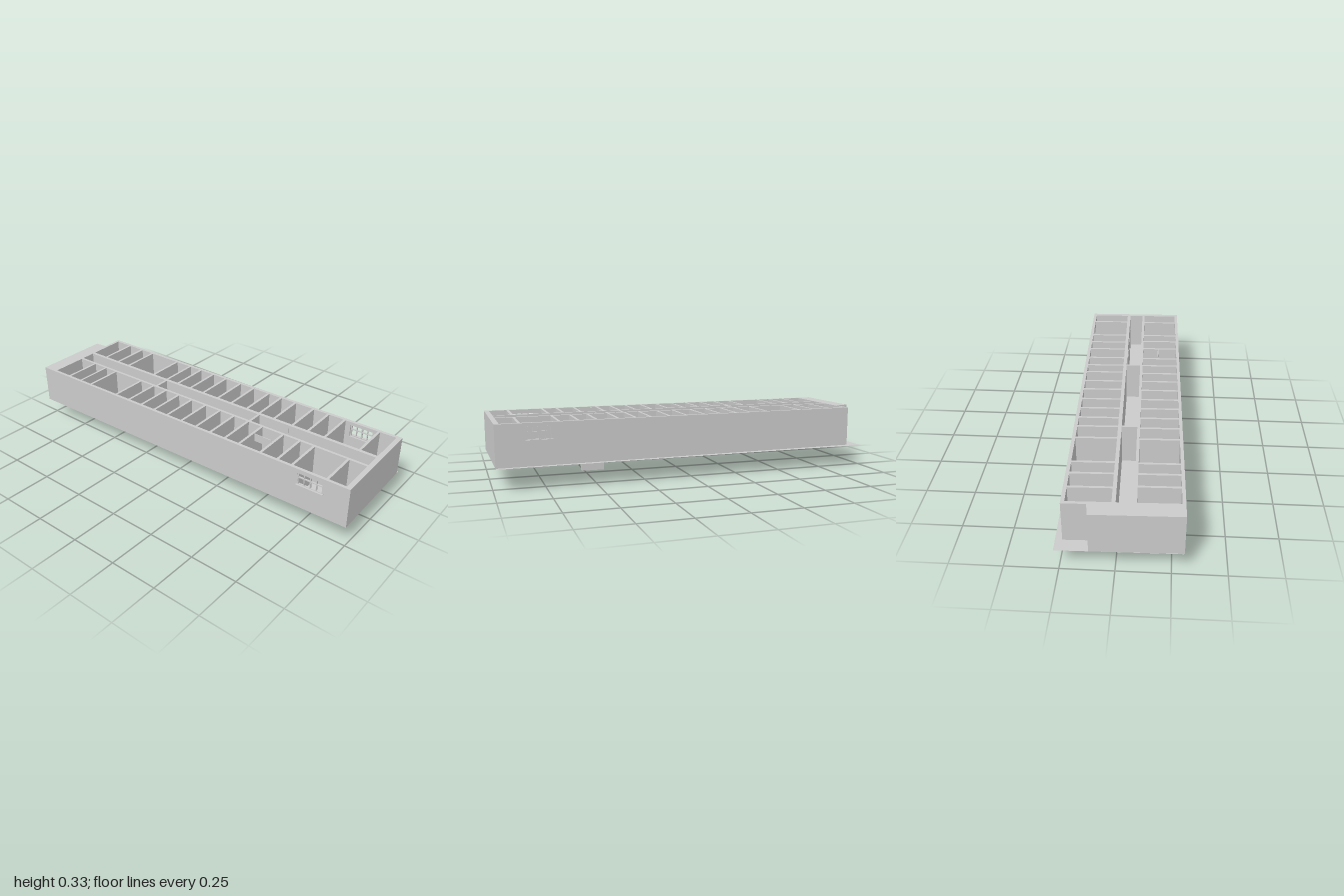
import * as THREE from 'three';

const FLOOR = 0.11, TOP = 0.32, TILT = 0.024;
const SILL = 0.236, HEAD = 0.302;
const mat = new THREE.MeshStandardMaterial({ color: 0xcccccc, flatShading: true, side: THREE.DoubleSide });

// Partition centre lines along the building, for each row of rooms
const BACK = [-0.81, -0.71, -0.625, -0.43, -0.33, -0.25, -0.16, -0.07, 0.03, 0.12, 0.22, 0.30, 0.39, 0.50, 0.59, 0.685, 0.875];
const FRONT = [-0.80, -0.71, -0.63, -0.435, -0.34, -0.25, -0.16, -0.07, 0.025, 0.12, 0.21, 0.30, 0.385, 0.51, 0.605, 0.685, 0.87];
const HALL = [-0.325, 0.305];
const WIN_BACK = [0.72, 0.845], WIN_FRONT = [0.725, 0.86];
const WINDOW_ROOM = 16;

// Rectangles between the partitions of one row
function row(dividers, v0, v1) {
  const t = 0.0065;
  const edges = [-0.91 - t, ...dividers, 0.967 + t];
  return edges.slice(1).map((e, i) => ({ u0: edges[i] + t, u1: e - t, v0, v1 }));
}

const corners = (r) => [[r.u0, r.v0], [r.u0, r.v1], [r.u1, r.v1], [r.u1, r.v0]];
const toPoints = (list) => list.map(([x, y]) => new THREE.Vector2(x, y));

function add(parent, name, geometry, x = 0, y = 0, z = 0) {
  const mesh = new THREE.Mesh(geometry, mat);
  mesh.name = name;
  mesh.position.set(x, y, z);
  parent.add(mesh);
  return mesh;
}

// One storey-plan layer; with windows, the outline runs in and around the window rooms
function wallLayer(y0, y1, withWindows) {
  const back = row(BACK, -0.243, -0.04);
  const front = row(FRONT, 0.07, 0.265);
  const hall = row(HALL, -0.022, 0.056);
  const vb = -0.2605, vf = 0.281;
  const outline = [[-0.995, -0.14], [-0.926, -0.147], [-0.926, vb]];
  if (withWindows) {
    const [r] = back.splice(WINDOW_ROOM, 1), [a, b] = WIN_BACK;
    outline.push([a, vb], [a, r.v0], [r.u0, r.v0], [r.u0, r.v1], [r.u1, r.v1], [r.u1, r.v0], [b, r.v0], [b, vb]);
  }
  outline.push([0.992, vb], [0.992, vf]);
  if (withWindows) {
    const [r] = front.splice(WINDOW_ROOM, 1), [a, b] = WIN_FRONT;
    outline.push([b, vf], [b, r.v1], [r.u1, r.v1], [r.u1, r.v0], [r.u0, r.v0], [r.u0, r.v1], [a, r.v1], [a, vf]);
  }
  outline.push([-0.995, vf]);
  const shape = new THREE.Shape(toPoints(outline));
  for (const r of [...back, ...front, ...hall]) shape.holes.push(new THREE.Path(toPoints(corners(r))));
  const geo = new THREE.ExtrudeGeometry(shape, { depth: y1 - y0, bevelEnabled: false });
  return geo.rotateX(Math.PI / 2).translate(0, y1, 0);
}

// Barred window with a frame and a projecting sill
function makeWindow(name, [u0, u1], v, out) {
  const g = new THREE.Group();
  g.name = name;
  const w = u1 - u0, h = HEAD - SILL, bar = 0.006;
  for (let i = 0; i <= 4; i++) {
    const thick = i % 2 ? 0.004 : bar;
    add(g, 'windowPost', new THREE.BoxGeometry(thick, h, 0.008), u0 + bar / 2 + (w - bar) * i / 4, SILL + h / 2, v);
  }
  for (const f of [0.04, 0.6, 0.96])
    add(g, 'windowRail', new THREE.BoxGeometry(w, 0.005, 0.008), (u0 + u1) / 2, SILL + h * f, v);
  add(g, 'windowSill', new THREE.BoxGeometry(w + 0.008, 0.003, 0.016), (u0 + u1) / 2, SILL + 0.001, v + out * 0.006);
  return g;
}

// Sunken stair: folded treads and risers between two side walls, open at the top
function makeStair() {
  const g = new THREE.Group();
  g.name = 'stair';
  const x0 = 0.393, x1 = 0.514;
  const profile = [[0.173, FLOOR], [0.173, 0.07]];
  const nose = [0.157, 0.135, 0.113, 0.093, 0.072, 0.05];
  const drop = [0.057, 0.044, 0.03, 0.016, 0];
  nose.forEach((z, i) => {
    profile.push([z, profile[profile.length - 1][1]]);
    profile.push([z, i < drop.length ? drop[i] : FLOOR]);
  });
  for (let i = 1; i < profile.length; i++) {
    const [za, ya] = profile[i - 1], [zb, yb] = profile[i];
    const flat = ya === yb;
    const geo = new THREE.PlaneGeometry(x1 - x0, flat ? Math.abs(zb - za) : Math.abs(yb - ya));
    if (flat) geo.rotateX(-Math.PI / 2);
    add(g, flat ? 'tread' : 'riser', geo, (x0 + x1) / 2, (ya + yb) / 2, (za + zb) / 2);
  }
  const side = new THREE.ShapeGeometry(new THREE.Shape(toPoints(profile))).rotateY(-Math.PI / 2);
  add(g, 'stairSide', side, x0);
  add(g, 'stairSide', side, x1);
  return g;
}

export function createModel() {
  const model = new THREE.Group();
  model.name = 'building';

  // Floor sheet with the stair opening
  const floor = new THREE.Shape(toPoints([[-1, -0.27], [0.984, -0.305], [0.998, 0.255], [-0.99, 0.3]]));
  floor.holes.push(new THREE.Path(toPoints([[0.393, 0.05], [0.393, 0.173], [0.514, 0.173], [0.514, 0.05]])));
  add(model, 'floor', new THREE.ShapeGeometry(floor).rotateX(Math.PI / 2), 0, FLOOR - 0.0005, 0);

  // Walls in three layers, the middle one broken by the windows
  const shell = new THREE.Group();
  shell.name = 'shell';
  shell.rotation.y = TILT;
  add(shell, 'lowerWalls', wallLayer(FLOOR, SILL, false));
  add(shell, 'windowWalls', wallLayer(SILL, HEAD, true));
  add(shell, 'upperWalls', wallLayer(HEAD, TOP, false));
  shell.add(makeWindow('frontWindow', WIN_FRONT, 0.276, 1));
  shell.add(makeWindow('backWindow', WIN_BACK, -0.256, -1));

  // Door leaves along the corridor, some reaching through the floor
  for (const [u, w, y0, y1] of [[0.563, 0.045, 0.098, 0.24], [0.645, 0.04, 0.098, 0.24], [0.925, 0.04, 0.083, 0.24], [0.435, 0.11, 0.12, 0.322], [0.755, 0.06, 0.115, 0.25]])
    add(shell, 'doorLeaf', new THREE.BoxGeometry(w, y1 - y0, 0.003), u, (y0 + y1) / 2, -0.0205);
  model.add(shell);

  model.add(makeStair());
  // Cross panel above the stair
  add(model, 'stairPanel', new THREE.BoxGeometry(0.1, 0.04, 0.004), 0.455, 0.307, 0.147);
  return model;
}
